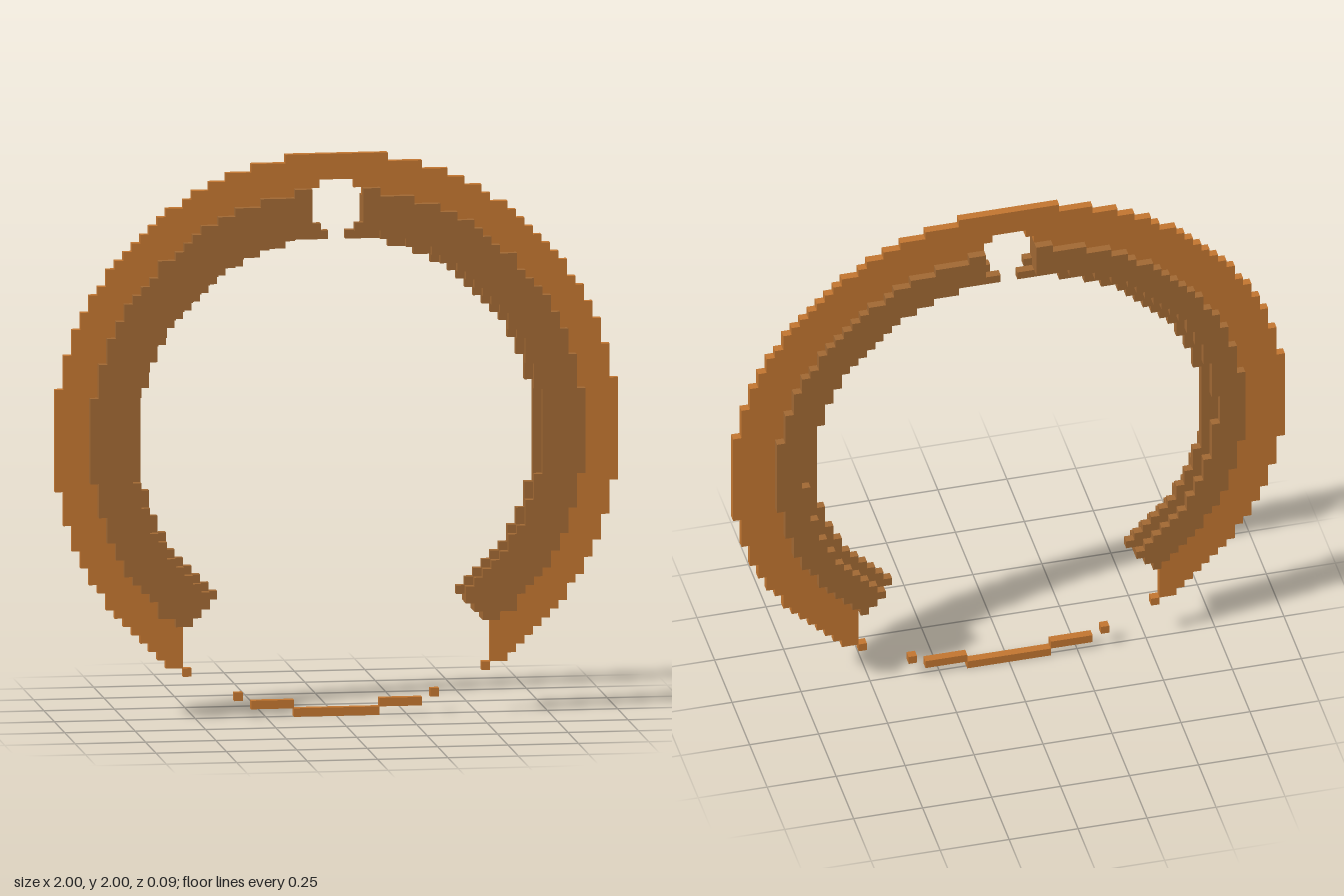
import * as THREE from 'three';
import { mergeGeometries } from 'three/addons/utils/BufferGeometryUtils.js';

const N = 33;        // half the grid, in blocks
const S = 1 / N;     // block size

// Box covering columns x0..x1 and rows y0..y1 of one layer (-1 back, 0 middle, 1 front)
function block(x0, x1, y0, y1, layer) {
  const g = new THREE.BoxGeometry((x1 - x0) * S, (y1 - y0) * S, S);
  g.translate((x0 + x1) / 2 * S, 1 + (y0 + y1) / 2 * S, layer * S);
  return g;
}

// Fill a layer row by row, joining neighbouring blocks into bars
function fill(layer, inside) {
  const bars = [];
  for (let j = -N; j < N; j++) {
    let start = null;
    for (let i = -N; i <= N; i++) {
      const on = i < N && inside(i + 0.5, j + 0.5);
      if (on && start === null) start = i;
      if (!on && start !== null) {
        bars.push(block(start, i, j, j + 1, layer));
        start = null;
      }
    }
  }
  return bars;
}

// Inner band: open at the bottom along a radial cut, with a small notch at the top
function band(inner, outer, foot) {
  const cut = THREE.MathUtils.degToRad(52);
  return (x, y) => {
    const r = Math.hypot(x, y), ax = Math.abs(x);
    if (r < inner || r >= outer) return false;
    if (Math.atan2(-y, ax) > cut) return false;
    return y < 0 || ax > foot(y);
  };
}

export function createModel() {
  const group = new THREE.Group();
  const orange = new THREE.MeshStandardMaterial({ color: 0xc17530 });
  orange.name = 'orange';
  const brown = new THREE.MeshStandardMaterial({ color: 0xa06833 });
  brown.name = 'brown';

  const add = (name, geometries, material) => {
    const mesh = new THREE.Mesh(mergeGeometries(geometries), material);
    mesh.name = name;
    group.add(mesh);
  };

  // Outer rim, bridging the notch at the top
  add('outerRim', fill(0, (x, y) => {
    const r = Math.hypot(x, y), ax = Math.abs(x);
    if (r < 28 || r >= 33) return false;
    if (y < -22) return ax > 18 || (ax > 17 && y > -28 && y < -27);
    if (y < 0) return ax > 17;
    return ax > 3 || r > 29.57;
  }), orange);

  // Raised bands on both sides and the core between them
  add('coreBand', fill(0, band(23.3, 28, (y) => (y < 24 ? 1 : 3))), brown);
  add('frontBand', fill(1, band(24, 29, (y) => (y < 25 ? 2 : 3))), brown);
  add('backBand', fill(-1, band(24.6, 28, () => 3)), brown);

  // Loose slivers of rim along the bottom
  const slivers = [block(-5, 5, -33, -32, 0)];
  for (const s of [-1, 1]) {
    for (const [a, b, row] of [[5, 10, -32], [11, 12, -31]]) {
      slivers.push(block(Math.min(s * a, s * b), Math.max(s * a, s * b), row, row + 1, 0));
    }
  }
  add('bottomSlivers', slivers, orange);

  return group;
}
